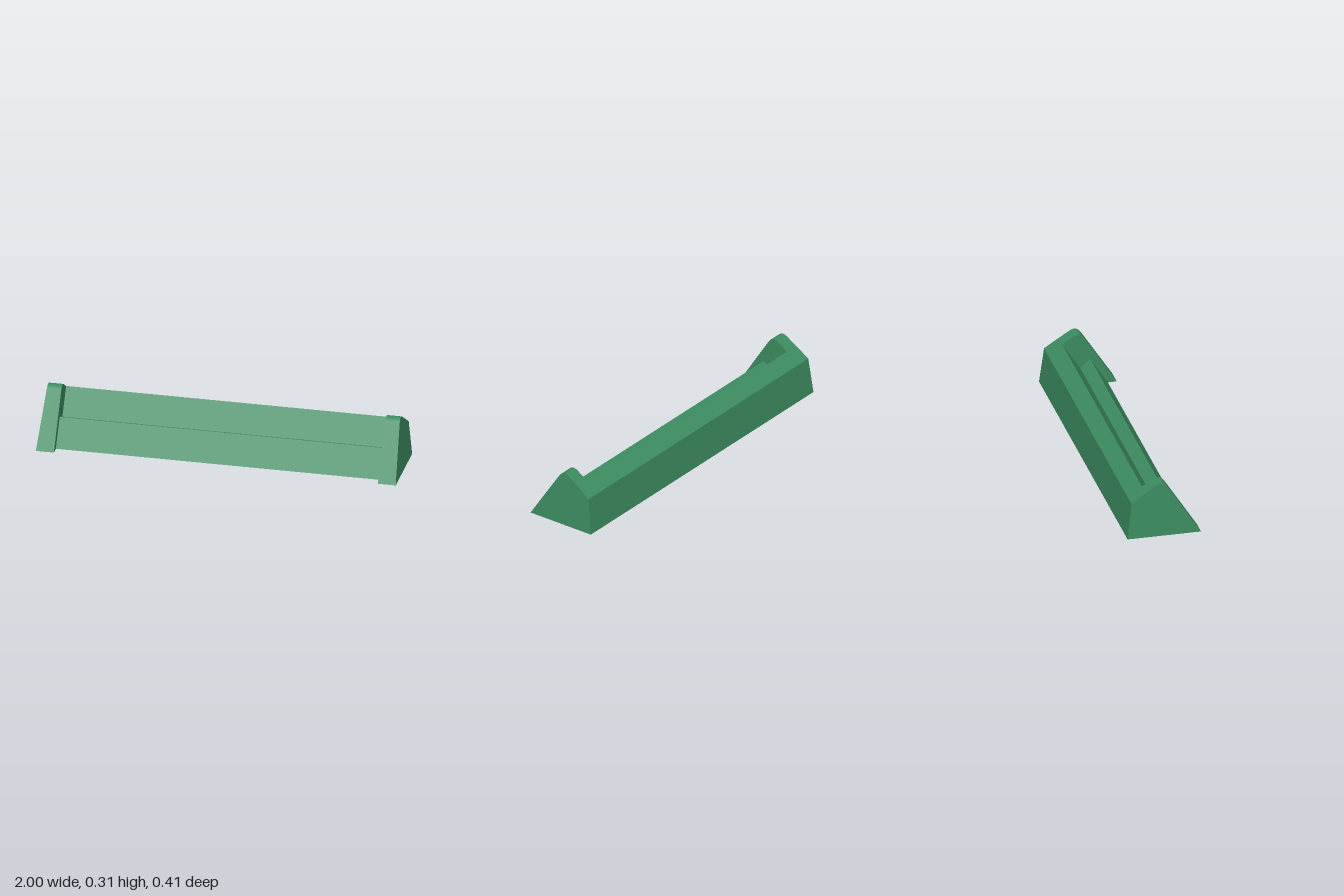
import * as THREE from 'three';
import { toCreasedNormals } from 'three/addons/utils/BufferGeometryUtils.js';

const INNER = 0.9; // where the end caps begin
const outer = (y) => 1 - 0.066 * y; // ends lean inwards

const material = new THREE.MeshStandardMaterial({ color: 0x3c8c60, side: THREE.DoubleSide });

// Profiles are [z, y], running from the front edge over the top to the back
const frontFace = [[0.155, 0], [0.06, 0.147], [0.05, 0.146], [0, 0.106], [-0.1, 0.259]];
const roof = [[-0.1, 0.259], [-0.18, 0.205]];
const back = [[-0.18, 0.205], [-0.205, 0]];
const crown = new THREE.QuadraticBezierCurve(
  new THREE.Vector2(0.025, 0.28), new THREE.Vector2(-0.003, 0.323), new THREE.Vector2(-0.04, 0.298)
).getPoints(10).map((p) => [p.x, p.y]);
const capTop = [[0.205, 0], ...crown, [-0.1, 0.259]];

// Sheet that sweeps a profile between two x limits
function sheet(name, profile, x0, x1) {
  const pos = [];
  for (let i = 0; i < profile.length - 1; i++) {
    const [az, ay] = profile[i], [bz, by] = profile[i + 1];
    const a0 = [x0(ay), ay, az], a1 = [x1(ay), ay, az];
    const b0 = [x0(by), by, bz], b1 = [x1(by), by, bz];
    pos.push(...a0, ...a1, ...b1, ...a0, ...b1, ...b0);
  }
  const geo = new THREE.BufferGeometry();
  geo.setAttribute('position', new THREE.Float32BufferAttribute(pos, 3));
  const mesh = new THREE.Mesh(toCreasedNormals(geo, 0.35), material);
  mesh.name = name;
  return mesh;
}

// Flat end wall; facing is the sign of its outward x direction
function wall(name, outline, x, facing) {
  const geo = new THREE.ShapeGeometry(new THREE.Shape(outline.map(([z, y]) => new THREE.Vector2(z, y))));
  const p = geo.attributes.position;
  for (let i = 0; i < p.count; i++) p.setXYZ(i, x(p.getY(i)), p.getY(i), p.getX(i));
  if (facing > 0) geo.index.array.reverse();
  geo.computeVertexNormals();
  const mesh = new THREE.Mesh(geo, material);
  mesh.name = name;
  return mesh;
}

export function createModel() {
  const model = new THREE.Group();
  model.name = 'hollowRack';

  // Long hollow body, open underneath
  model.add(sheet('steppedFront', frontFace, () => -INNER, () => INNER));
  model.add(sheet('roof', roof, (y) => -outer(y), outer));
  model.add(sheet('backWall', back, (y) => -outer(y), outer));

  // End caps
  for (const side of [1, -1]) {
    const cap = new THREE.Group();
    cap.name = side > 0 ? 'leftEndCap' : 'rightEndCap';
    const inside = () => side * INNER;
    const outside = (y) => side * outer(y);
    cap.add(sheet('capTop', capTop, side > 0 ? inside : outside, side > 0 ? outside : inside));
    cap.add(wall('outerWall', [...capTop, ...back], outside, side));
    cap.add(wall('innerWall', [...capTop, ...frontFace.slice(0, -1).reverse()], inside, -side));
    model.add(cap);
  }
  return model;
}
